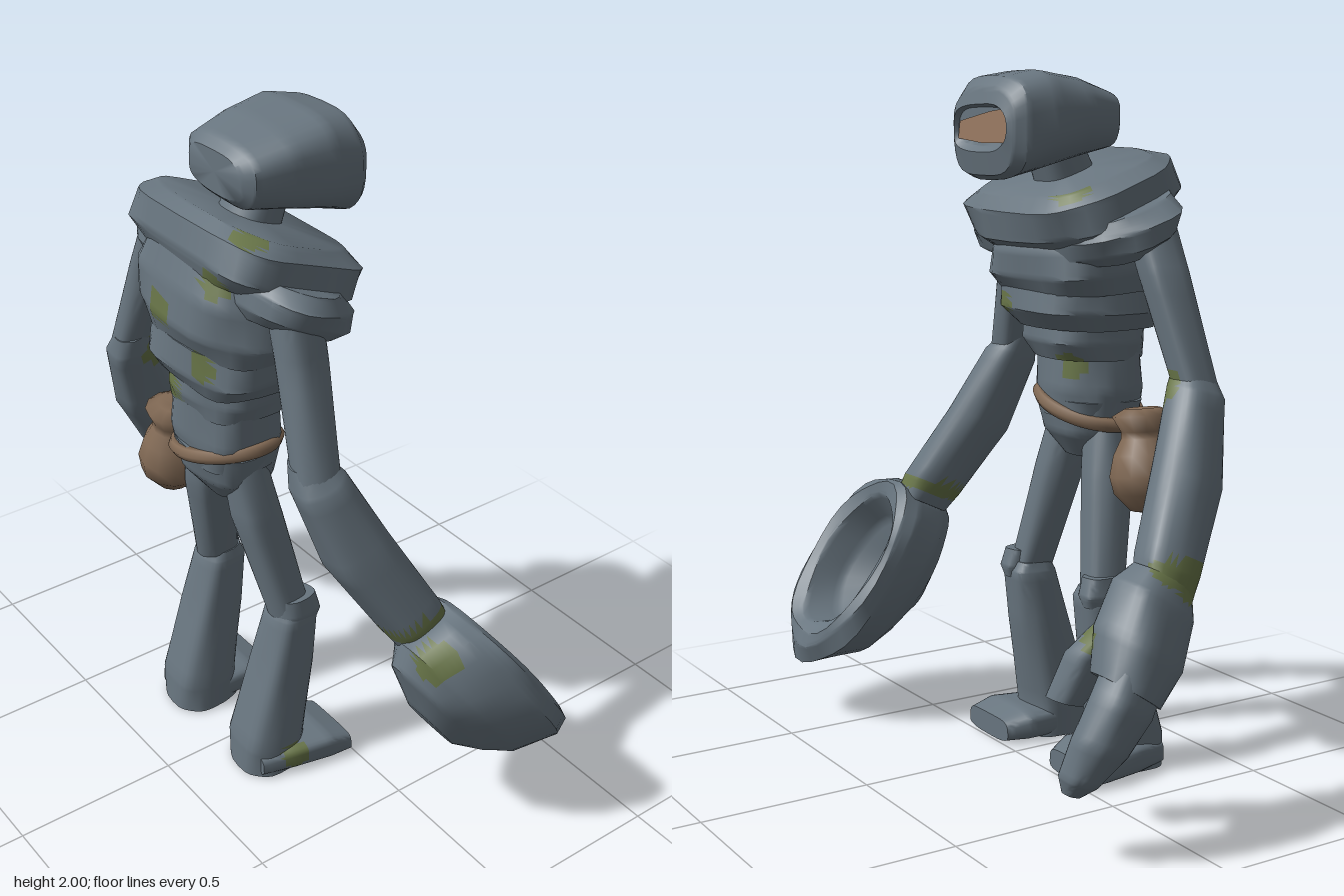
import * as THREE from 'three';
import { toCreasedNormals } from 'three/addons/utils/BufferGeometryUtils.js';

const mat = (name, color) => {
  const m = new THREE.MeshStandardMaterial({ color });
  m.name = name;
  return m;
};

// moss spots: x, y, z, radius
const MOSS = [
  [0.0, 1.665, -0.28, 0.05], [0.0, 1.34, 0.08, 0.04], [-0.1, 1.18, -0.14, 0.045],
  [-0.18, 1.14, -0.5, 0.06], [0.02, 0.71, -0.74, 0.05], [-0.05, 0.69, -0.76, 0.065],
  [0.17, 0.55, -0.66, 0.05], [-0.13, 0.12, -0.3, 0.05], [-0.2, 0.07, 0.26, 0.045],
  [-0.28, 1.77, 0.17, 0.045], [-0.34, 1.64, 0.1, 0.045], [-0.38, 1.38, 0.06, 0.045],
  [-0.39, 1.5, -0.12, 0.045], [-0.36, 1.24, -0.12, 0.045], [-0.06, 0.66, 0.71, 0.065],
];
const MID = -0.055; // the body's mirror plane in z

export function createModel() {
  const root = new THREE.Group();
  root.name = 'stoneGolem';
  const stone = mat('stone', 0x68757f);
  const moss = mat('moss', 0x687548);
  const leather = mat('leather', 0x826a55);
  const visorTan = mat('visorTan', 0x9c7c64);

  const add = (name, geo, material, parent = root) => {
    const m = new THREE.Mesh(geo, material);
    m.name = name;
    parent.add(m);
    return m;
  };

  // Closed solid through rings [x, y, z, halfU, halfZ, tilt]; U lies in the xy plane.
  // band(point) adds moss besides the spots.
  function loft(name, rings, { p = 2.6, rough = 0.03, parent = root, band = () => false } = {}) {
    const N = 30, STEPS = 6;
    const seed = name.length * 1.3 + rings[0][1] * 7;
    const rows = rings.map(([x, y, z, a, b, t = 0], k) => {
      const row = [];
      for (let i = 0; i < N; i++) {
        const th = (i / N) * Math.PI * 2, c = Math.cos(th), s = Math.sin(th);
        const w = 1 + rough * Math.sin(5 * th + k * 1.7 + seed);
        const u = a * w * Math.sign(c) * Math.abs(c) ** (2 / p);
        const v = b * w * Math.sign(s) * Math.abs(s) ** (2 / p);
        row.push(new THREE.Vector3(x + u * Math.cos(t), y + u * Math.sin(t), z + v));
      }
      return row;
    });
    const all = [];
    rows.forEach((row, k) => {
      if (k) for (let j = 1; j < STEPS; j++) all.push(row.map((q, i) => rows[k - 1][i].clone().lerp(q, j / STEPS)));
      all.push(row);
    });
    const centre = (r) => Array(N).fill(new THREE.Vector3(...r.slice(0, 3)));
    all.unshift(centre(rings[0]));
    all.push(centre(rings.at(-1)));

    const tris = [];
    let volume = 0;
    const tri = (a, b, c) => {
      if (a.distanceTo(b) < 1e-6 || b.distanceTo(c) < 1e-6 || a.distanceTo(c) < 1e-6) return;
      tris.push([a, b, c]);
      volume += a.dot(b.clone().cross(c));
    };
    for (let k = 0; k + 1 < all.length; k++) {
      for (let i = 0; i < N; i++) {
        const j = (i + 1) % N;
        tri(all[k][i], all[k + 1][i], all[k + 1][j]);
        tri(all[k][i], all[k + 1][j], all[k][j]);
      }
    }
    if (volume < 0) tris.forEach((t) => t.reverse());

    // sort faces into stone and moss
    const isMoss = ([a, b, c]) => {
      const m = a.clone().add(b).add(c).divideScalar(3);
      return band(m) || MOSS.some(([x, y, z, r]) => Math.hypot(m.x - x, m.y - y, m.z - z) < r);
    };
    const green = tris.filter(isMoss);
    const plain = tris.filter((t) => !isMoss(t));
    let geo = new THREE.BufferGeometry().setFromPoints([...plain, ...green].flat());
    geo = toCreasedNormals(geo, 0.7);
    geo.clearGroups();
    geo.addGroup(0, plain.length * 3, 0);
    if (green.length) geo.addGroup(plain.length * 3, green.length * 3, 1);
    return add(name, geo, [stone, moss], parent);
  }

  // Head, built back to front, with a shallow recessed face
  const H = Math.PI / 2;
  loft('head', [
    [-0.235, 1.865, MID, 0.06, 0.12, H], [-0.21, 1.865, MID, 0.085, 0.155, H],
    [-0.1, 1.87, MID, 0.112, 0.185, H], [0.02, 1.862, MID, 0.138, 0.197, H],
    [0.11, 1.84, MID, 0.142, 0.185, H], [0.14, 1.83, MID, 0.12, 0.16, H],
    [0.154, 1.84, MID, 0.065, 0.138, H], [0.14, 1.845, MID, 0.052, 0.13, H],
  ], { p: 3, rough: 0.015 });

  // Visor plate: an uneven strip, wider on the right
  const visorShape = new THREE.Shape([
    [-0.07, 1.812], [0.05, 1.8], [0.18, 1.8], [0.185, 1.892], [0.1, 1.885], [-0.06, 1.86],
  ].map((q) => new THREE.Vector2(...q)));
  const visor = add('visor', new THREE.ExtrudeGeometry(visorShape, { depth: 0.008, bevelEnabled: false }), visorTan);
  visor.rotation.y = H;
  visor.position.x = 0.138;

  loft('neck', [[-0.18, 1.6, MID, 0.09, 0.09, -0.3], [-0.08, 1.82, MID, 0.07, 0.08, -0.2]]);

  // Tilted collar and shoulder slabs
  const T = -0.37;
  loft('collar', [
    [-0.175, 1.57, MID, 0.19, 0.27, T], [-0.16, 1.61, MID, 0.225, 0.325, T],
    [-0.135, 1.69, MID, 0.225, 0.325, T], [-0.125, 1.72, MID, 0.18, 0.27, T],
  ], { p: 3.6 });
  loft('shoulderSlab', [
    [-0.18, 1.51, MID, 0.15, 0.36, T], [-0.17, 1.54, MID, 0.18, 0.4, T],
    [-0.16, 1.59, MID, 0.185, 0.415, T], [-0.155, 1.63, MID, 0.165, 0.37, T],
  ], { p: 2.6 });

  // Torso of stacked slabs
  loft('chest', [
    [-0.19, 1.39, MID, 0.18, 0.24, -0.08], [-0.185, 1.45, MID, 0.21, 0.27, -0.12],
    [-0.18, 1.54, MID, 0.21, 0.265, -0.2], [-0.18, 1.64, MID, 0.175, 0.22, -0.3],
  ], { p: 3.1 });
  loft('ribs', [[-0.2, 1.28, MID, 0.16, 0.2], [-0.19, 1.33, MID, 0.195, 0.235], [-0.19, 1.42, MID, 0.185, 0.235]], { p: 3 });
  loft('belly', [[-0.21, 1.19, MID, 0.135, 0.165], [-0.2, 1.24, MID, 0.155, 0.178], [-0.2, 1.31, MID, 0.15, 0.18]]);
  loft('waist', [[-0.22, 1.02, MID, 0.12, 0.15], [-0.22, 1.1, MID, 0.13, 0.165], [-0.22, 1.21, MID, 0.125, 0.16]]);
  loft('pelvis', [[-0.22, 0.9, MID, 0.06, 0.08], [-0.22, 0.97, MID, 0.11, 0.14], [-0.22, 1.07, MID, 0.13, 0.165]]);

  // Belt and pouch
  const beltPts = [];
  for (let i = 0; i < 20; i++) {
    const a = (i / 20) * Math.PI * 2;
    beltPts.push(new THREE.Vector3(-0.22 + 0.134 * Math.cos(a), 1.05 + 0.045 * Math.sin(a), MID + 0.165 * Math.sin(a)));
  }
  add('belt', new THREE.TubeGeometry(new THREE.CatmullRomCurve3(beltPts, true), 60, 0.021, 6, true), leather);
  const pouchProfile = [[0, 0], [0.05, 0.01], [0.095, 0.06], [0.105, 0.11], [0.09, 0.17], [0.066, 0.215],
    [0.064, 0.235], [0.088, 0.28], [0.05, 0.3], [0, 0.29]].map(([r, y]) => new THREE.Vector2(r, y));
  const pouch = add('pouch', new THREE.LatheGeometry(pouchProfile, 12), leather);
  pouch.position.set(-0.24, 0.765, -0.325);
  pouch.rotation.x = 0.12;

  for (const s of [1, -1]) {
    const z = (off) => MID + s * off;

    // Leg
    const leg = new THREE.Group();
    leg.name = s > 0 ? 'leftSideLeg' : 'rightSideLeg';
    root.add(leg);
    loft('thigh', [
      [-0.22, 1.02, z(0.085), 0.06, 0.065], [-0.2, 0.85, z(0.12), 0.07, 0.068], [-0.14, 0.52, z(0.19), 0.06, 0.055],
    ], { parent: leg });
    loft('knee', [
      [-0.13, 0.5, z(0.21), 0.065, 0.042], [-0.125, 0.53, z(0.21), 0.07, 0.047], [-0.13, 0.585, z(0.205), 0.06, 0.042],
    ], { parent: leg });
    loft('shin', [
      [-0.222, 0.005, z(0.185), 0.105, 0.1], [-0.222, 0.1, z(0.185), 0.1, 0.1],
      [-0.165, 0.36, z(0.187), 0.083, 0.083], [-0.135, 0.52, z(0.187), 0.07, 0.07], [-0.135, 0.55, z(0.187), 0.055, 0.06],
    ], { p: 3, parent: leg });
    loft('foot', [
      [-0.3, 0.045, z(0.195), 0.035, 0.085, H], [-0.2, 0.05, z(0.2), 0.046, 0.11, H],
      [-0.08, 0.05, z(0.21), 0.046, 0.125, H], [-0.01, 0.037, z(0.225), 0.034, 0.11, H],
    ], { p: 4, rough: 0.015, parent: leg });

    // Arm
    const arm = new THREE.Group();
    arm.name = s > 0 ? 'scoopArm' : 'clawArm';
    root.add(arm);
    const out = s > 0 ? 0 : 0.035;
    loft('upperArm', [
      [-0.2, 1.6, z(0.3), 0.068, 0.065], [-0.205, 1.45, z(0.34 + out), 0.068, 0.06],
      [-0.235, 1.14, z(0.45 + out), 0.063, 0.055, 0.2],
    ], { parent: arm });
    loft('forearm', [
      [-0.245, 1.2, z(0.42 + out), 0.05, 0.05, 0.2], [-0.23, 1.14, z(0.45 + out), 0.075, 0.072, 0.3],
      [-0.15, 0.93, z(0.52 + out), 0.095, 0.085, 0.42], [-0.03, 0.72, z(0.6 + out), 0.088, 0.08, 0.45],
      [0.0, 0.66, z(0.62 + out), 0.08, 0.07, 0.45],
    ], { parent: arm, band: (q) => s > 0 && Math.abs(q.y - 0.715 - 0.4 * (q.x + 0.02)) < 0.025 });
  }

  // Scoop hand: rings step from the back of the bowl to the rim and into the hollow
  const scoop = [
    [-0.275, -0.03, 0.1, 0.07], [-0.23, -0.06, 0.23, 0.13], [-0.17, -0.035, 0.295, 0.18],
    [-0.05, 0.02, 0.33, 0.232], [-0.005, 0.005, 0.3, 0.226], [0.008, 0, 0.27, 0.205],
    [-0.01, 0, 0.23, 0.17], [-0.1, -0.01, 0.18, 0.135], [-0.17, -0.02, 0.09, 0.07],
  ];
  loft('scoopHand', scoop.map(([n, u, a, b]) => [
    0.235 + 0.82 * n + 0.57 * u, 0.495 + 0.57 * n - 0.82 * u, 0.635, a, b, -0.963,
  ]), { p: 2.1 });

  // Claw hand: palm, broad finger and thumb
  const claw = new THREE.Group();
  claw.name = 'clawHand';
  root.add(claw);
  loft('palm', [
    [-0.01, 0.7, -0.7, 0.08, 0.07, 0.5], [0.03, 0.64, -0.71, 0.115, 0.1, 0.6],
    [0.1, 0.53, -0.735, 0.118, 0.12, 0.6], [0.16, 0.44, -0.77, 0.09, 0.095, 0.6],
  ], { parent: claw });
  loft('finger', [
    [0.13, 0.5, -0.78, 0.08, 0.07, 0.6], [0.19, 0.41, -0.795, 0.08, 0.073, 0.5],
    [0.25, 0.31, -0.785, 0.07, 0.068, 0.4], [0.29, 0.22, -0.755, 0.045, 0.055, 0.3], [0.3, 0.18, -0.735, 0.02, 0.025, 0.3],
  ], { parent: claw });
  loft('thumb', [
    [0.09, 0.56, -0.66, 0.065, 0.055, 0.6], [0.16, 0.47, -0.6, 0.06, 0.055, 0.5], [0.205, 0.36, -0.56, 0.045, 0.05, 0.3],
  ], { parent: claw });

  return root;
}
